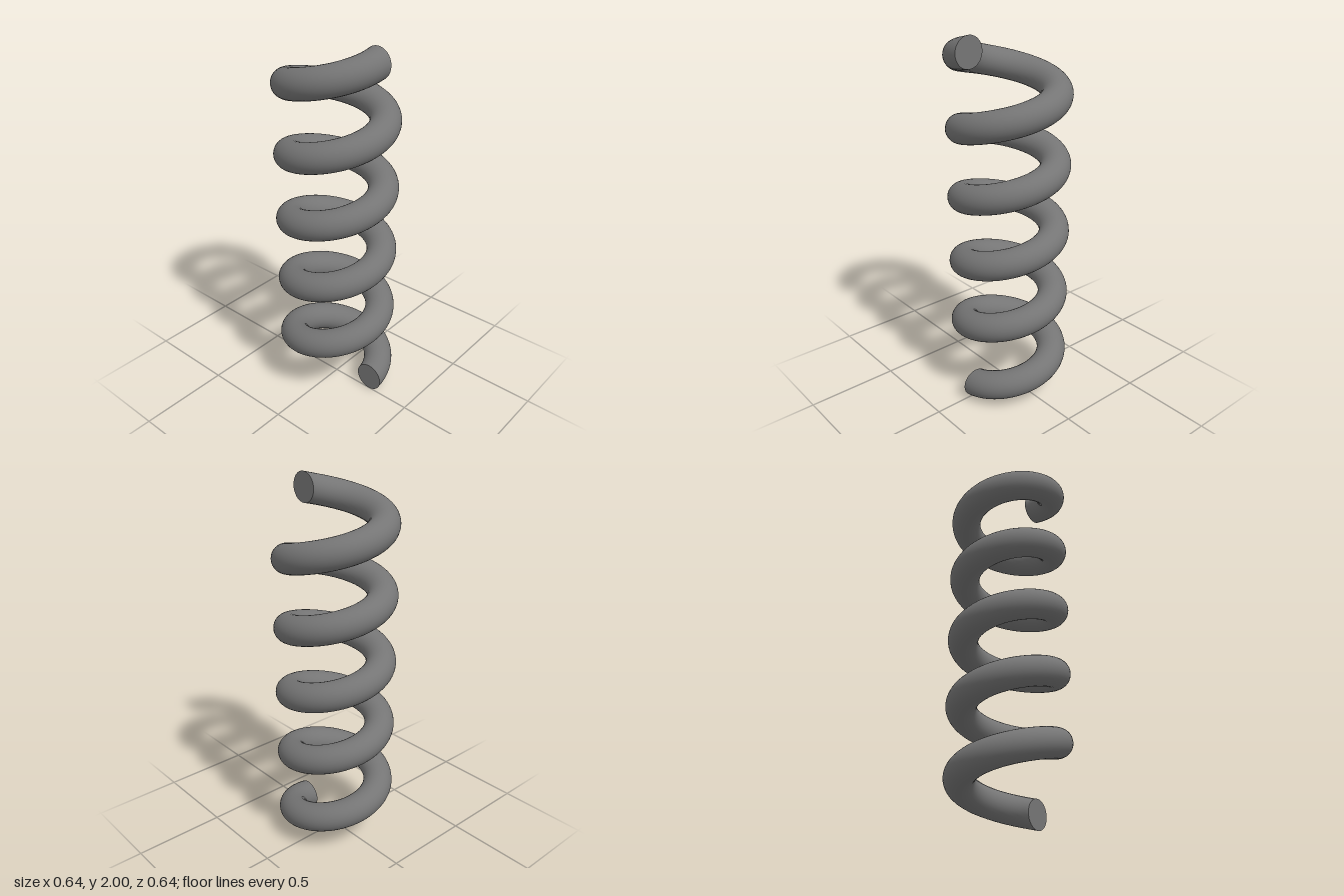
import * as THREE from 'three';

const COIL_R = 0.242, WIRE_R = 0.08, TURNS = 5, HEIGHT = 2;
const STEPS = 64 * TURNS, SIDES = 32;

// Round wire section, kept in a vertical plane, swept up a helix
function coilGeometry() {
  const positions = [], index = [], row = SIDES;
  for (let i = 0; i <= STEPS; i++) {
    const t = i / STEPS, a = t * TURNS * Math.PI * 2;
    const y = WIRE_R + t * (HEIGHT - 2 * WIRE_R);
    for (let j = 0; j < SIDES; j++) {
      const b = (j / SIDES) * Math.PI * 2;
      const r = COIL_R + WIRE_R * Math.cos(b);
      positions.push(r * Math.cos(a), y + WIRE_R * Math.sin(b), -r * Math.sin(a));
      if (i < STEPS) {
        const k = (j + 1) % SIDES, p = i * row, q = p + row;
        index.push(p + j, q + j, p + k, q + j, q + k, p + k);
      }
    }
  }
  const geometry = new THREE.BufferGeometry();
  geometry.setAttribute('position', new THREE.Float32BufferAttribute(positions, 3));
  geometry.setIndex(index);
  geometry.computeVertexNormals();
  return geometry;
}

export function createModel() {
  const group = new THREE.Group();
  group.name = 'coilSpring';
  const material = new THREE.MeshStandardMaterial({ color: 0x757575 });

  const coil = new THREE.Mesh(coilGeometry(), material);
  coil.name = 'coil';
  group.add(coil);

  // Flat cut ends: the lower faces front, the upper faces back
  const ends = [['lowerEnd', WIRE_R, 0], ['upperEnd', HEIGHT - WIRE_R, Math.PI]];
  for (const [name, y, turn] of ends) {
    const end = new THREE.Mesh(new THREE.CircleGeometry(WIRE_R, SIDES), material);
    end.name = name;
    end.position.set(COIL_R, y, 0);
    end.rotation.y = turn;
    group.add(end);
  }
  return group;
}
